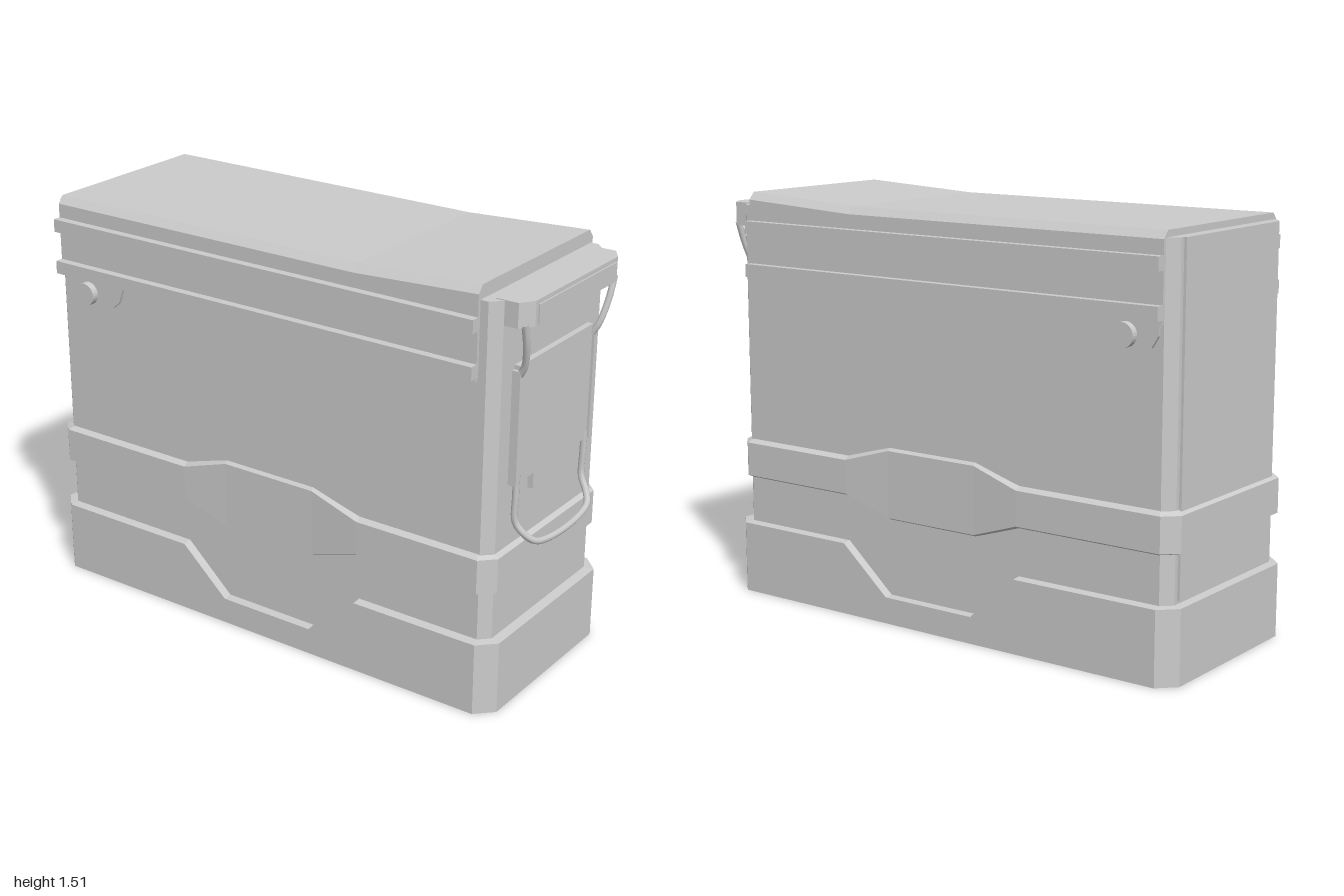
import * as THREE from 'three';

const mat = new THREE.MeshStandardMaterial({ color: 0xcccccc, flatShading: true });
const smooth = new THREE.MeshStandardMaterial({ color: 0xcccccc });

// Skin between closed rings of [x, y, z] points, with optional flat end caps
function loft(rings, capStart = true, capEnd = true) {
  const pos = [];
  const tri = (a, b, c) => pos.push(...a, ...b, ...c);
  const n = rings[0].length;
  for (let i = 0; i < rings.length - 1; i++) {
    for (let j = 0; j < n; j++) {
      const k = (j + 1) % n;
      const a = rings[i][j], b = rings[i][k], c = rings[i + 1][k], d = rings[i + 1][j];
      tri(a, b, c);
      tri(a, c, d);
    }
  }
  const first = rings[0], last = rings[rings.length - 1];
  for (let j = 1; j < n - 1; j++) {
    if (capStart) tri(first[0], first[j + 1], first[j]);
    if (capEnd) tri(last[0], last[j], last[j + 1]);
  }
  const g = new THREE.BufferGeometry();
  g.setAttribute('position', new THREE.Float32BufferAttribute(pos, 3));
  g.computeVertexNormals();
  return g;
}

// Plan outline with chamfered corners, and break points for the stepped middle
const BREAKS = [-0.375, -0.19, 0.19, 0.385];
function outline(x0, x1, z, c) {
  const front = [x0 + c, ...BREAKS, x1 - c].map(x => [x, z]);
  const back = front.map(([x]) => [x, -z]).reverse();
  return [...front, [x1, z - c], [x1, c - z], ...back, [x0, c - z], [x0, z - c]];
}

// 1 in the stepped middle of the long sides, 0 at the ends
const middle = x => (x >= -0.2 && x <= 0.2 ? 1 : 0);

// Wall from levels of [x0, x1, z, chamfer, y, middle shift in y, middle shift in z]
function wall(levels, capStart, capEnd) {
  return loft(levels.map(([x0, x1, z, c, y, dy = 0, dz = 0]) =>
    outline(x0, x1, z, c).map(([px, pz]) =>
      [px, y + dy * middle(px), pz + Math.sign(pz) * dz * middle(px)])), capStart, capEnd);
}

export function createModel() {
  const model = new THREE.Group();
  const add = (name, geo, m = mat) => {
    const mesh = new THREE.Mesh(geo, m);
    mesh.name = name;
    model.add(mesh);
    return mesh;
  };
  const box = (name, x0, x1, y0, y1, z0, z1) =>
    add(name, new THREE.BoxGeometry(x1 - x0, y1 - y0, z1 - z0))
      .position.set((x0 + x1) / 2, (y0 + y1) / 2, (z0 + z1) / 2);

  // Can body, with a thin panel on the plain end
  add('body', wall([[-0.97, 0.9, 0.352, 0.036, 0.02], [-0.97, 0.9, 0.352, 0.036, 1.462]]));
  box('endPanel', -0.98, -0.96, 0.28, 1.462, -0.3, 0.3);

  // Base shoe, cut low in the middle of each long side
  add('base', wall([
    [-1, 0.935, 0.385, 0.06, 0],
    [-1, 0.935, 0.385, 0.06, 0.265, -0.168],
    [-0.96, 0.89, 0.345, 0.036, 0.27, -0.17],
  ], true, false));

  // Reinforcing band, taller in the middle
  add('band', wall([
    [-0.96, 0.89, 0.345, 0.036, 0.435, -0.06],
    [-0.995, 0.917, 0.372, 0.05, 0.448, -0.062, -0.008],
    [-0.995, 0.917, 0.372, 0.05, 0.573, 0.058, -0.008],
    [-0.96, 0.89, 0.345, 0.036, 0.59, 0.056],
  ], false, false));

  // Lid, rising towards the latch end
  const section = (x, rise) => [[-0.363, 1.2], [-0.363, 1.458], [-0.34, 1.485],
    [0.34, 1.485], [0.363, 1.458], [0.363, 1.2]]
    .map(([z, y]) => [x, y + (y > 1.4 ? rise : 0), z]);
  add('lid', loft([section(-0.935, 0), section(0.36, 0), section(0.835, 0.025)]));

  // Lid rails, lower lip, hinge tab and pivot knob on both sides
  const tab = new THREE.Shape([[-0.925, 1.2], [-0.92, 1.15], [-0.895, 1.11], [-0.695, 1.11],
    [-0.665, 1.135], [-0.64, 1.2]].map(p => new THREE.Vector2(...p)));
  for (const s of [1, -1]) {
    const span = (a, b) => (s > 0 ? [a, b] : [-b, -a]);
    box('upperRail', -0.935, 0.835, 1.36, 1.407, ...span(0.35, 0.393));
    box('lowerRail', -0.935, 0.835, 1.203, 1.25, ...span(0.35, 0.393));
    box('lidLip', -0.93, 0.83, 1.187, 1.21, ...span(0.34, 0.36));
    add('hingeTab', new THREE.ExtrudeGeometry(tab, { depth: 0.02, bevelEnabled: false }))
      .position.z = s > 0 ? 0.343 : -0.363;
    const stem = add('pivotStem', new THREE.CylinderGeometry(0.03, 0.03, 0.04, 20));
    const knob = add('pivotKnob', new THREE.CylinderGeometry(0.042, 0.042, 0.026, 24));
    stem.rotation.x = knob.rotation.x = Math.PI / 2;
    stem.position.set(-0.803, 1.148, s * 0.36);
    knob.position.set(-0.803, 1.148, s * 0.381);
  }

  // Latch hood on the lid's end
  const hood = [[0.87, 0.315], [0.95, 0.315], [0.983, 0.265],
    [0.983, -0.265], [0.95, -0.315], [0.87, -0.315]];
  add('latchHood', loft([1.38, 1.465].map(y => hood.map(([x, z]) => [x, y, z]))));
  box('hoodPanel', 0.97, 0.988, 1.383, 1.45, -0.25, 0.25);

  // Latch plate with a tongue and side flanges
  const plate = new THREE.Shape([[-0.238, 1.225], [-0.238, 0.81], [-0.122, 0.81], [-0.122, 0.752],
    [0.117, 0.752], [0.117, 0.81], [0.238, 0.81], [0.238, 1.225]]
    .map(p => new THREE.Vector2(...p)));
  const plateMesh = add('latchPlate', new THREE.ExtrudeGeometry(plate, { depth: 0.026, bevelEnabled: false }));
  plateMesh.rotation.y = Math.PI / 2;
  plateMesh.position.x = 0.895;
  for (const s of [1, -1]) {
    box('latchFlange', 0.895, 0.93, 0.81, 1.21, s * 0.243 - 0.009, s * 0.243 + 0.009);
    // Wire arm from the hood down to the plate
    const arm = new THREE.CatmullRomCurve3([[0.962, 1.39, 0.292], [0.957, 1.31, 0.268],
      [0.94, 1.23, 0.244], [0.918, 1.19, 0.238]].map(([x, y, z]) => new THREE.Vector3(x, y, s * z)));
    add('latchArm', new THREE.TubeGeometry(arm, 12, 0.012, 8), smooth);
  }

  // Wire bail at the foot of the latch
  const half = [[0.917, 0.84, 0.225], [0.916, 0.76, 0.225], [0.917, 0.67, 0.222],
    [0.945, 0.625, 0.208], [0.968, 0.597, 0.178], [0.978, 0.584, 0.12]];
  const bail = [...half, [0.984, 0.579, 0], ...half.map(([x, y, z]) => [x, y, -z]).reverse()];
  add('latchBail', new THREE.TubeGeometry(
    new THREE.CatmullRomCurve3(bail.map(p => new THREE.Vector3(...p))), 64, 0.012, 8), smooth);

  return model;
}
